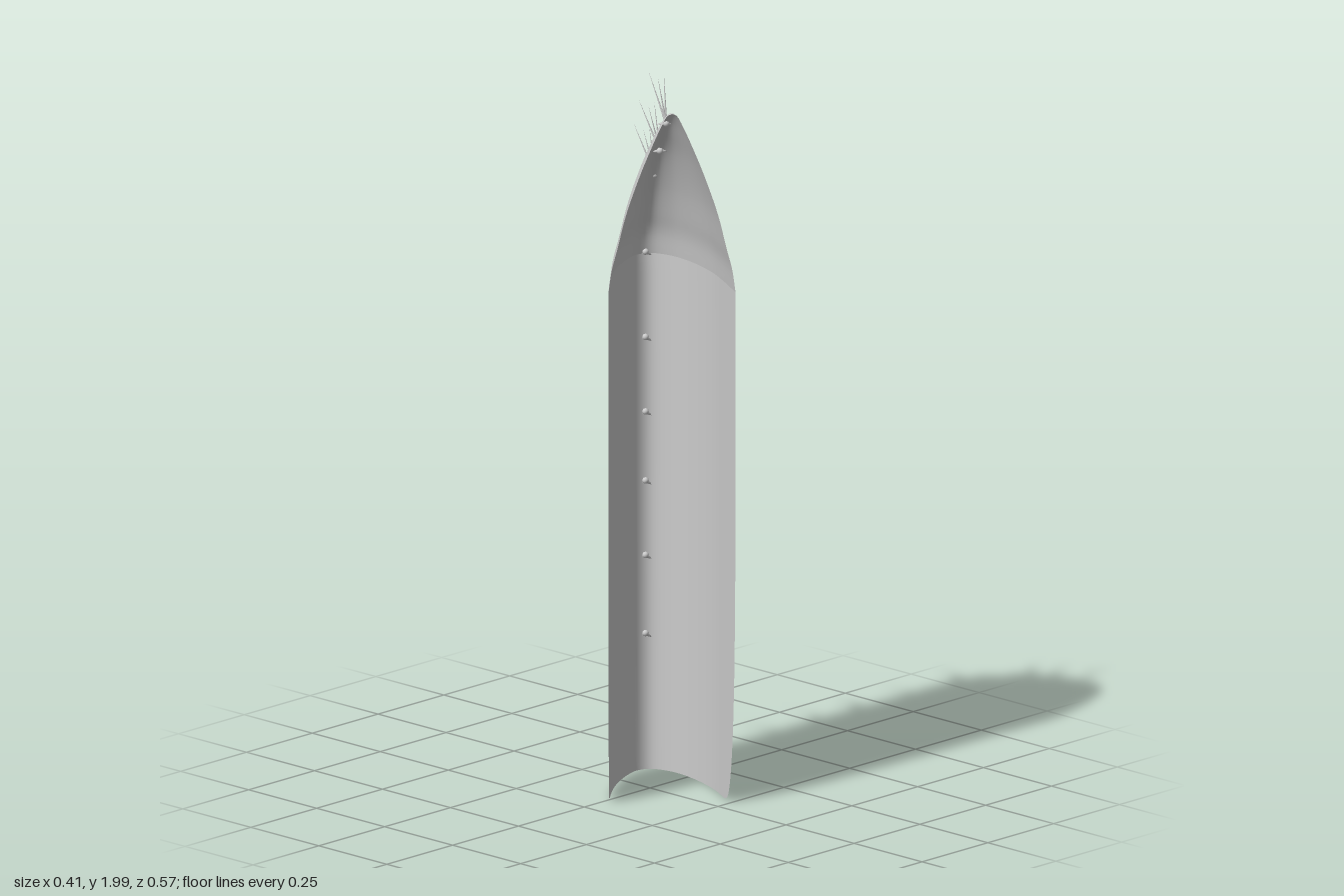
import * as THREE from 'three';

const UP = new THREE.Vector3(0, 1, 0);
const SEAM = 1.42;
const material = new THREE.MeshStandardMaterial({ color: 0xcccccc, side: THREE.DoubleSide });

// Plan of the folded wall: free edge, round the ridge, to the other free edge
const plan = new THREE.CatmullRomCurve3([
  [-0.22, 0.06], [-0.145, -0.008], [-0.06, -0.073], [0.03, -0.121], [0.095, -0.139], [0.13, -0.125],
  [0.15, -0.07], [0.145, 0.01], [0.112, 0.12], [0.07, 0.205], [0.02, 0.295],
].map(([x, z]) => new THREE.Vector3(x, 0, z)));

// Middle of the opening, and the depth and half-width directions from it
const centre = new THREE.Vector2(-0.1, 0.178);
const depthAxis = new THREE.Vector2(0.23, -0.303);
const widthAxis = new THREE.Vector2(0.12, 0.1175);

// Tip profile: x = width factor, y = height, z = depth factor
const tipProfile = new THREE.CatmullRomCurve3([
  [1, SEAM, 1], [0.95, 1.48, 0.96], [0.86, 1.54, 0.89], [0.73, 1.63, 0.77], [0.51, 1.74, 0.58],
  [0.32, 1.82, 0.38], [0.19, 1.87, 0.23], [0.08, 1.905, 0.08], [0, 1.912, 0],
].map((p) => new THREE.Vector3(...p)));

// Free edges curve inwards towards the foot: x = height, y = part of the wall kept
const edgeTrim = new THREE.SplineCurve([
  [0, 0.77], [0.012, 0.83], [0.05, 0.875], [0.13, 0.92], [0.25, 0.955], [0.42, 0.98], [0.7, 0.997], [1, 1], [SEAM, 1],
].map((p) => new THREE.Vector2(...p)));

// Smooth sheet from a rule point(u, v), with u round the wall and v upwards
function sheet(name, cols, rows, point) {
  const positions = [], index = [];
  for (let j = 0; j <= rows; j++) {
    for (let i = 0; i <= cols; i++) {
      positions.push(...point(i / cols, j / rows));
      if (i < cols && j < rows) {
        const a = j * (cols + 1) + i, b = a + 1, c = a + cols + 1, d = c + 1;
        index.push(a, c, b, b, c, d);
      }
    }
  }
  const geometry = new THREE.BufferGeometry();
  geometry.setAttribute('position', new THREE.Float32BufferAttribute(positions, 3));
  geometry.setIndex(index);
  geometry.computeVertexNormals();
  const mesh = new THREE.Mesh(geometry, material);
  mesh.name = name;
  return mesh;
}

function bodyPoint(u, v) {
  const edge = edgeTrim.getPoint(v);
  const p = plan.getPointAt(THREE.MathUtils.clamp(0.5 + (u - 0.5) * edge.y, 0, 1));
  return [p.x, Math.max(0, edge.x), p.z];
}

function tipPoint(u, v) {
  const p = plan.getPointAt(u), f = tipProfile.getPoint(v);
  // Split the plan point into depth and width shares, then scale each
  const q = new THREE.Vector2(p.x, p.z).sub(centre);
  const det = depthAxis.cross(widthAxis);
  const a = (q.cross(widthAxis) / det) * f.z;
  const b = (depthAxis.cross(q) / det) * f.x;
  return [centre.x + a * depthAxis.x + b * widthAxis.x, f.y, centre.y + a * depthAxis.y + b * widthAxis.y];
}

// Thin tapering spike from base along a vector
function spike(name, base, vector, radius) {
  const length = vector.length();
  const geometry = new THREE.ConeGeometry(radius, length, 5);
  geometry.translate(0, length / 2, 0);
  const mesh = new THREE.Mesh(geometry, material);
  mesh.name = name;
  mesh.position.copy(base);
  mesh.quaternion.setFromUnitVectors(UP, vector.clone().normalize());
  return mesh;
}

// Three long spines with small barbs spread at their foot
function spineCluster(name, base, direction, turn) {
  const group = new THREE.Group();
  group.name = name;
  const side = new THREE.Vector3(0.7, 0, 0.7);
  const lift = new THREE.Vector3().crossVectors(side, direction).normalize();
  [[-0.02, -0.008, 1], [0.022, 0.0, 0.93], [0.002, 0.016, 0.85]].forEach(([s, l, size]) => {
    const v = direction.clone().addScaledVector(side, s + turn).addScaledVector(lift, l).multiplyScalar(size);
    group.add(spike('spine', base, v, 0.0035));
  });
  for (const s of [-1, 1]) {
    const v = side.clone().multiplyScalar(0.028 * s).addScaledVector(direction, 0.07);
    v.y -= 0.012;
    group.add(spike('barb', base, v, 0.006));
  }
  const foot = new THREE.Mesh(new THREE.IcosahedronGeometry(0.009, 1), material);
  foot.name = 'spineFoot';
  foot.position.copy(base);
  group.add(foot);
  return group;
}

export function createModel() {
  const model = new THREE.Group();
  model.name = 'spinyRib';
  model.add(sheet('ribWall', 72, 48, bodyPoint));
  model.add(sheet('ribTip', 72, 40, tipPoint));

  // Spines down the back ridge
  [1.425, 1.19, 0.985, 0.795, 0.59, 0.375].forEach((y, i) => {
    const base = new THREE.Vector3(0.118, y, -0.131);
    const direction = new THREE.Vector3(0.058, i === 0 ? -0.055 : -0.083, -0.128);
    model.add(spineCluster('ridgeSpines', base, direction, 0.012 * Math.sin(i * 2.3)));
  });

  // Spines on the sloping tip
  [[-0.042, 1.858, 0.1], [0.022, 1.752, 0.015], [0.066, 1.665, -0.046]].forEach((p, i) => {
    const direction = new THREE.Vector3(i === 0 ? 0.016 : 0.002, 0.135, -0.055);
    model.add(spineCluster('tipSpines', new THREE.Vector3(...p), direction, 0));
  });
  return model;
}
